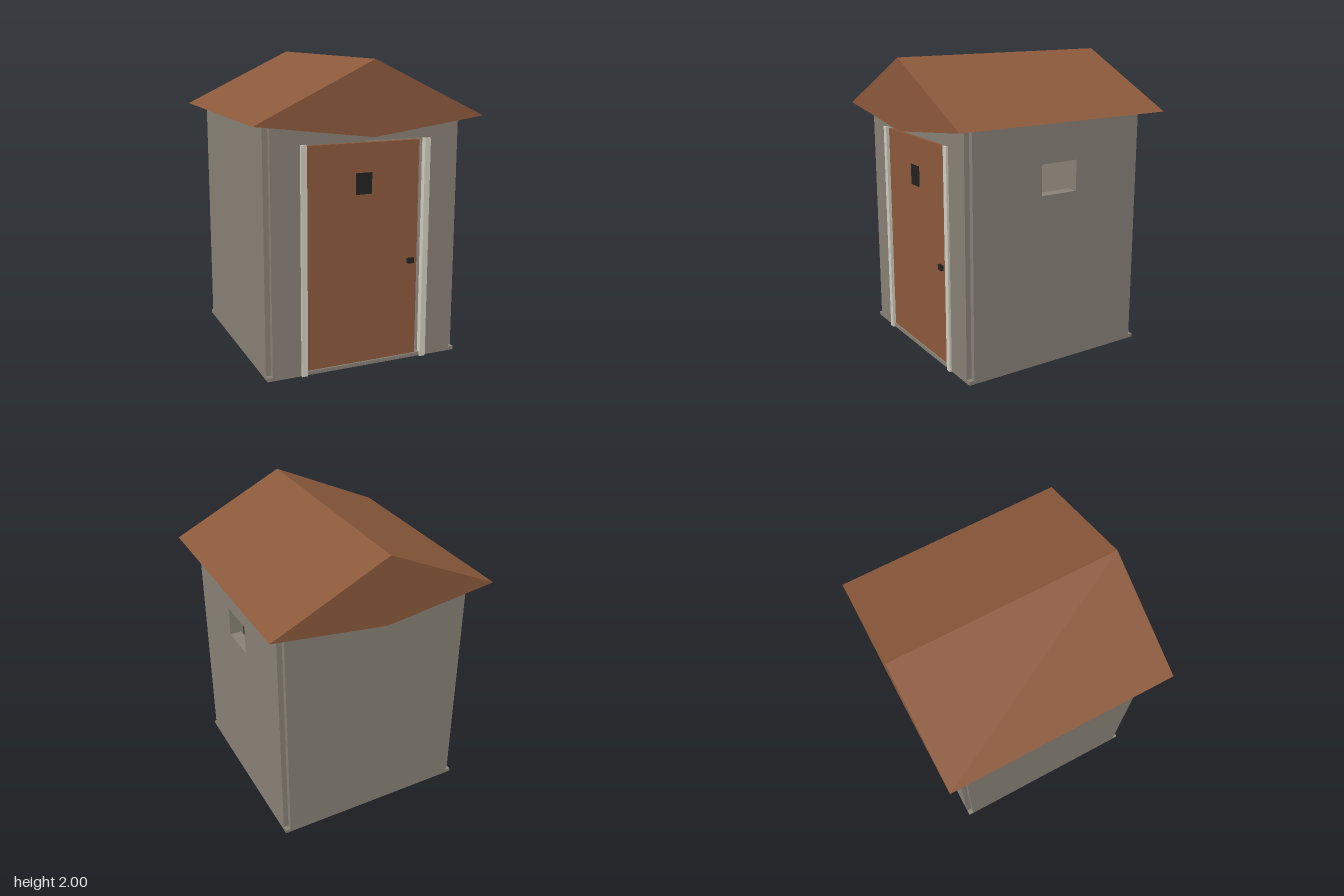
import * as THREE from 'three';

export function createModel() {
  const model = new THREE.Group();
  const mat = (name, color) => {
    const m = new THREE.MeshStandardMaterial({ color });
    m.name = name;
    return m;
  };
  const stone = mat('stone grey', 0x878075);
  const wood = mat('brown wood', 0x8b593b);
  const trim = mat('pale trim', 0xcfccbe);
  const black = mat('black', 0x222222);

  const add = (name, geometry, material) => {
    const mesh = new THREE.Mesh(geometry, material);
    mesh.name = name;
    model.add(mesh);
    return mesh;
  };
  // Box given by its limits on each axis
  const box = (name, material, [x0, x1], [y0, y1], [z0, z1]) => {
    const mesh = add(name, new THREE.BoxGeometry(x1 - x0, y1 - y0, z1 - z0), material);
    mesh.position.set((x0 + x1) / 2, (y0 + y1) / 2, (z0 + z1) / 2);
    return mesh;
  };
  const polygon = (points) => new THREE.Shape(points.map(([x, y]) => new THREE.Vector2(x, y)));
  const extrude = (shape, depth) => new THREE.ExtrudeGeometry(shape, { depth, bevelEnabled: false });

  const OUT = 0.675, END = 0.64, THICK = 0.08, IN = OUT - THICK;
  const FLOOR = 0.025, TOP = 1.62;

  // Floor slab
  box('floor', stone, [-OUT, OUT], [0, FLOOR], [-OUT, OUT]);

  // Walls stop short of the corners, leaving a square notch at each
  box('backWall', stone, [-END, END], [FLOOR, TOP], [-OUT, -IN]);
  box('leftBlankWall', stone, [-OUT, -IN], [FLOOR, TOP], [-END, END]);

  // Front wall with doorway
  const front = polygon([
    [-END, FLOOR], [-0.41, FLOOR], [-0.41, 1.495], [0.41, 1.495],
    [0.41, FLOOR], [END, FLOOR], [END, TOP], [-END, TOP],
  ]);
  add('frontWall', extrude(front, THICK), stone).position.z = IN;

  // Side wall with a small open window
  const side = polygon([[-END, FLOOR], [END, FLOOR], [END, TOP], [-END, TOP]]);
  side.holes.push(new THREE.Path([
    new THREE.Vector2(-0.135, 1.155), new THREE.Vector2(-0.135, 1.36),
    new THREE.Vector2(0.135, 1.36), new THREE.Vector2(0.135, 1.155),
  ]));
  const windowWall = add('windowWall', extrude(side, THICK), stone);
  windowWall.rotation.y = Math.PI / 2;
  windowWall.position.x = IN;

  // Solid gabled roof with a shallow sloping underside
  const roof = polygon([[-0.775, 1.63], [0, 1.53], [0.775, 1.63], [0, 2]]);
  add('roof', extrude(roof, 1.56), wood).position.z = -0.78;

  // Door, leaving a narrow gap on the handle side
  box('door', wood, [-0.41, 0.375], [FLOOR + 0.002, 1.483], [0.635, 0.668]);
  box('doorWindow', black, [-0.07, 0.04], [1.155, 1.293], [0.667, 0.673]);
  box('doorHandle', black, [0.302, 0.348], [0.665, 0.7], [0.66, 0.685]);

  // Door posts
  for (const s of [-1, 1]) {
    const post = box('doorPost', trim, [0.407, 0.447], [0, 1.493], [0.65, 0.69]);
    post.position.x *= s;
  }

  // Bench against the back wall
  box('bench', wood, [-0.45, 0.45], [0.01, 0.3], [-0.61, -0.4]);

  return model;
}
